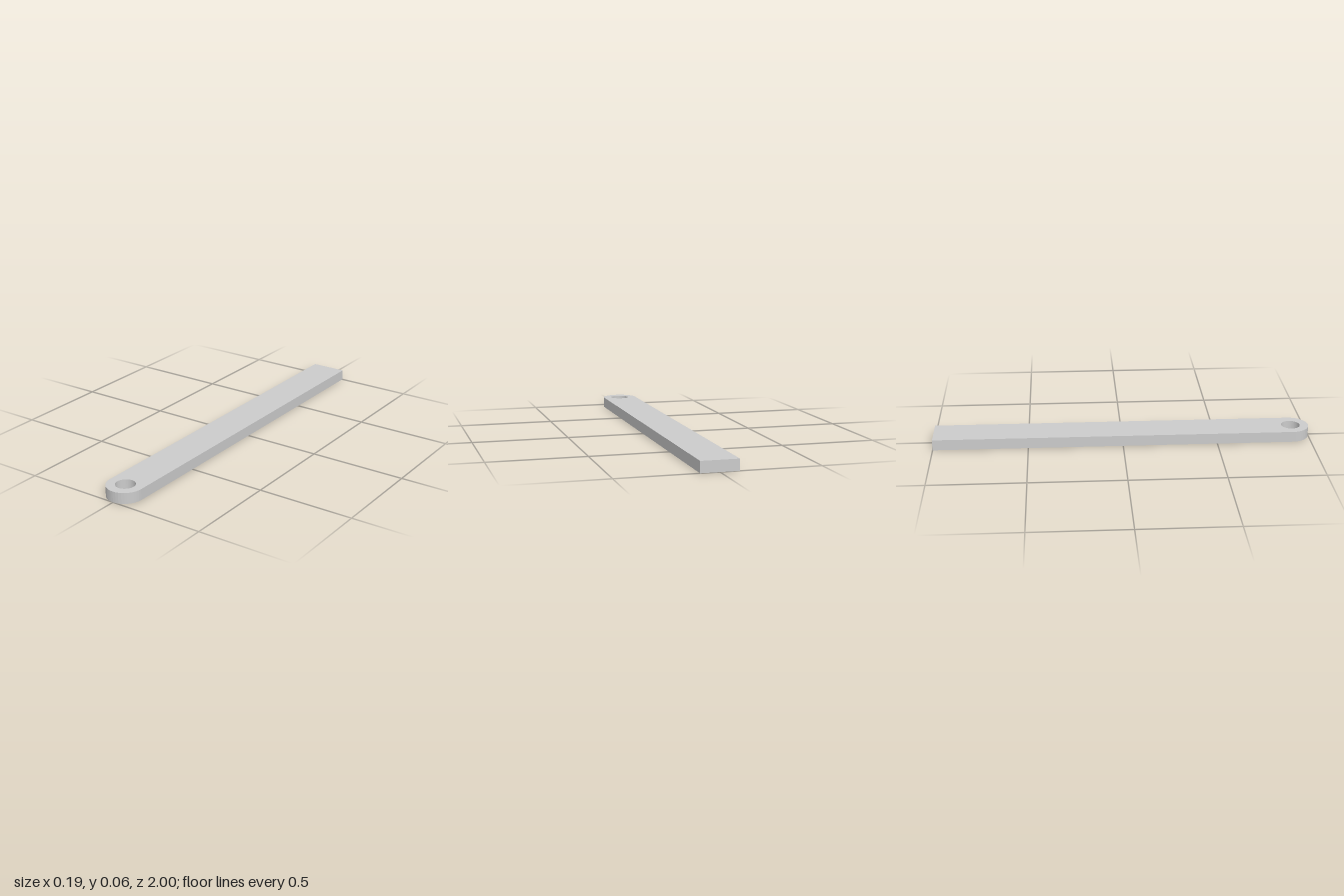
import * as THREE from 'three';

const HALF_WIDTH = 0.095;
const THICKNESS = 0.057;
const HOLE_RADIUS = 0.05;
const HOLE_Z = 1 - HALF_WIDTH;

export function createModel() {
  const group = new THREE.Group();
  group.name = 'linkBar';

  // Outline: square at the back, rounded at the front (shape y becomes z)
  const outline = new THREE.Shape();
  outline.moveTo(-HALF_WIDTH, -1);
  outline.lineTo(HALF_WIDTH, -1);
  outline.lineTo(HALF_WIDTH, HOLE_Z);
  outline.absarc(0, HOLE_Z, HALF_WIDTH, 0, Math.PI, false);
  outline.closePath();

  // Pivot hole, concentric with the rounded end
  const hole = new THREE.Path();
  hole.absarc(0, HOLE_Z, HOLE_RADIUS, 0, -Math.PI, true);
  hole.absarc(0, HOLE_Z, HOLE_RADIUS, Math.PI, 0, true);
  outline.holes.push(hole);

  // Lay the extrusion flat, standing on y = 0
  const geometry = new THREE.ExtrudeGeometry(outline, {
    depth: THICKNESS,
    bevelEnabled: false,
    curveSegments: 10,
  });
  geometry.rotateX(Math.PI / 2);
  geometry.translate(0, THICKNESS, 0);

  const bar = new THREE.Mesh(geometry, new THREE.MeshStandardMaterial({ color: 0xcccccc, flatShading: true }));
  bar.name = 'barWithPivotHole';
  group.add(bar);
  return group;
}
